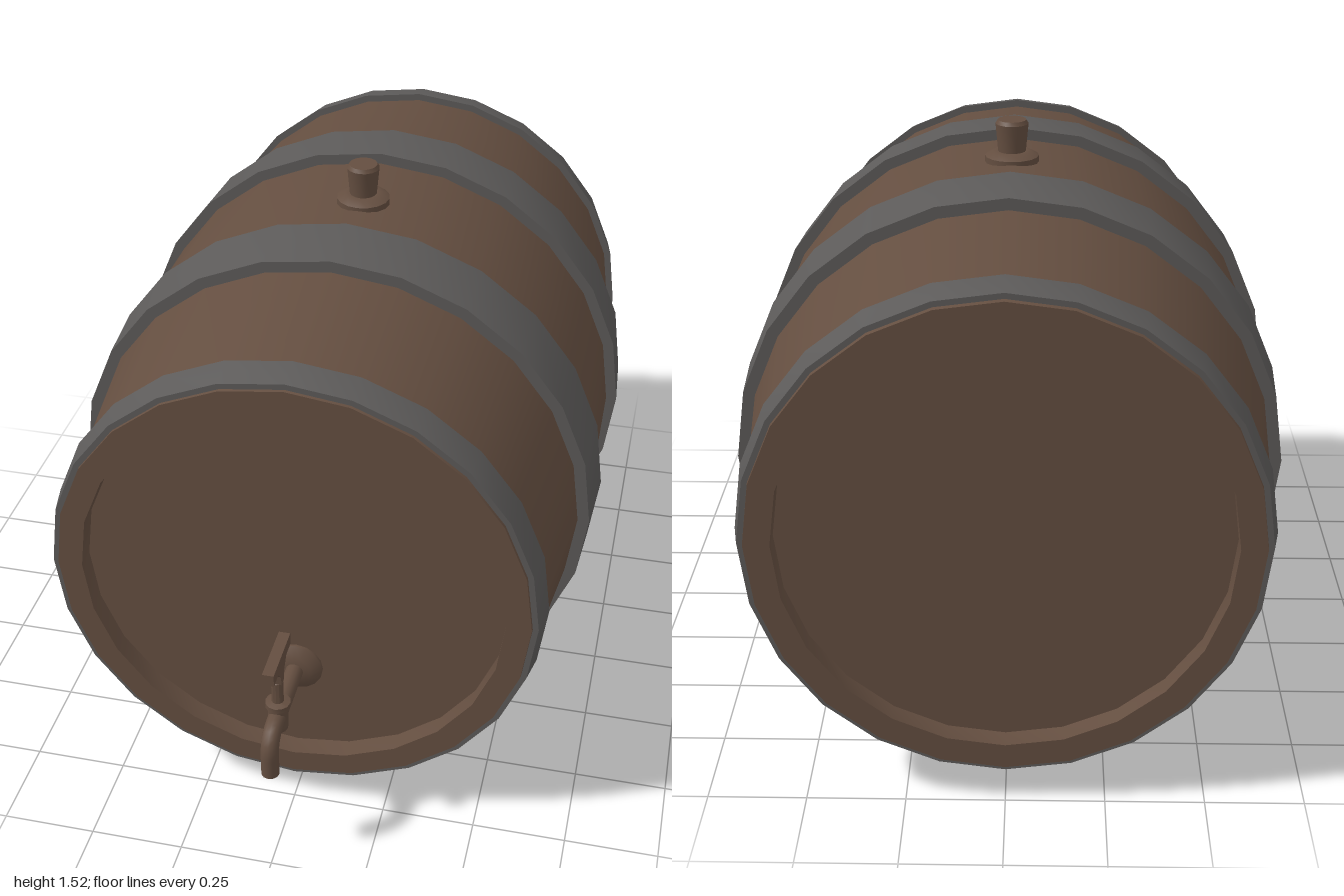
import * as THREE from 'three';
import { toCreasedNormals } from 'three/addons/utils/BufferGeometryUtils.js';

const wood = new THREE.MeshStandardMaterial({ color: 0x644e40 });
wood.name = 'brown wood';
const iron = new THREE.MeshStandardMaterial({ color: 0x5c5a59 });
iron.name = 'dark iron';

// Lathe from [radius, height] pairs listed bottom to top along the outside
function turned(points, sides) {
  const g = new THREE.LatheGeometry(points.map(([r, h]) => new THREE.Vector2(r, h)), sides);
  return toCreasedNormals(g, 0.6);
}

function add(parent, name, geometry, material, x = 0, y = 0, z = 0) {
  const mesh = new THREE.Mesh(geometry, material);
  mesh.name = name;
  mesh.position.set(x, y, z);
  parent.add(mesh);
  return mesh;
}

export function createModel() {
  const model = new THREE.Group();
  model.name = 'barrel';
  const axisY = 0.725;

  // Bulging staves with a recessed head at each end
  const body = turned([
    [0, -0.945], [0.555, -0.945], [0.555, -1], [0.62, -1], [0.632, -0.91],
    [0.677, -0.52], [0.69, -0.335], [0.692, -0.125], [0.69, 0.09],
    [0.677, 0.275], [0.632, 0.66], [0.62, 0.75], [0.555, 0.75],
    [0.555, 0.695], [0, 0.695],
  ], 24).rotateX(Math.PI / 2);
  add(model, 'barrelBody', body, wood, 0, axisY, 0);

  // Iron hoops: [back z, front z, back radius, front radius]
  const hoops = [
    ['backEndHoop', -0.987, -0.91, 0.636, 0.652],
    ['backBellyHoop', -0.52, -0.335, 0.708, 0.72],
    ['frontBellyHoop', 0.09, 0.275, 0.72, 0.708],
    ['frontEndHoop', 0.663, 0.742, 0.652, 0.636],
  ];
  for (const [name, z0, z1, r0, r1] of hoops) {
    const hoop = turned([[0.61, z0], [r0, z0], [r1, z1], [0.61, z1]], 24);
    add(model, name, hoop.rotateX(Math.PI / 2), iron, 0, axisY, 0);
  }

  // Bung with its collar on top of the belly
  add(model, 'bung', turned([
    [0, 1.39], [0.072, 1.39], [0.072, 1.425], [0.05, 1.437], [0.037, 1.437],
    [0.044, 1.512], [0.038, 1.522], [0, 1.522],
  ], 16), wood, 0, 0, -0.11);

  // Tap on the front head
  const tap = new THREE.Group();
  tap.name = 'tap';
  model.add(tap);
  add(tap, 'tapFlange', turned([
    [0, 0], [0.072, 0], [0.072, 0.012], [0.045, 0.03], [0, 0.03],
  ], 16).rotateX(Math.PI / 2), wood, 0, 0.44, 0.69);

  // Horizontal pipe curving down into the spout
  const pipe = new THREE.CurvePath();
  const v = (y, z) => new THREE.Vector3(0, y, z);
  pipe.add(new THREE.LineCurve3(v(0.44, 0.7), v(0.44, 0.915)));
  pipe.add(new THREE.QuadraticBezierCurve3(v(0.44, 0.915), v(0.44, 0.975), v(0.38, 0.975)));
  pipe.add(new THREE.LineCurve3(v(0.38, 0.975), v(0.32, 0.975)));
  add(tap, 'tapPipe', new THREE.TubeGeometry(pipe, 28, 0.024, 12), wood);
  add(tap, 'spoutEnd', new THREE.CircleGeometry(0.024, 12).rotateX(Math.PI / 2), wood, 0, 0.32, 0.975);

  // Valve body and spindle
  add(tap, 'tapValve', turned([
    [0, 0.395], [0.024, 0.395], [0.027, 0.41], [0.027, 0.468], [0.033, 0.472],
    [0.033, 0.486], [0.016, 0.49], [0.016, 0.555], [0.01, 0.56], [0.01, 0.6], [0, 0.6],
  ], 12), wood, 0, 0, 0.885);

  // Flat T handle, drawn in the z-y plane and extruded across x
  const outline = [
    [-0.013, 0.555], [0.013, 0.555], [0.016, 0.585], [0.04, 0.613], [0.082, 0.613],
    [0.082, 0.647], [-0.082, 0.647], [-0.082, 0.613], [-0.04, 0.613], [-0.016, 0.585],
  ].map(([a, b]) => new THREE.Vector2(a, b));
  const handle = new THREE.ExtrudeGeometry(new THREE.Shape(outline), { depth: 0.03, bevelEnabled: false });
  handle.translate(0, 0, -0.015).rotateY(Math.PI / 2);
  add(tap, 'tapHandle', handle, wood, 0, 0, 0.885);

  return model;
}
